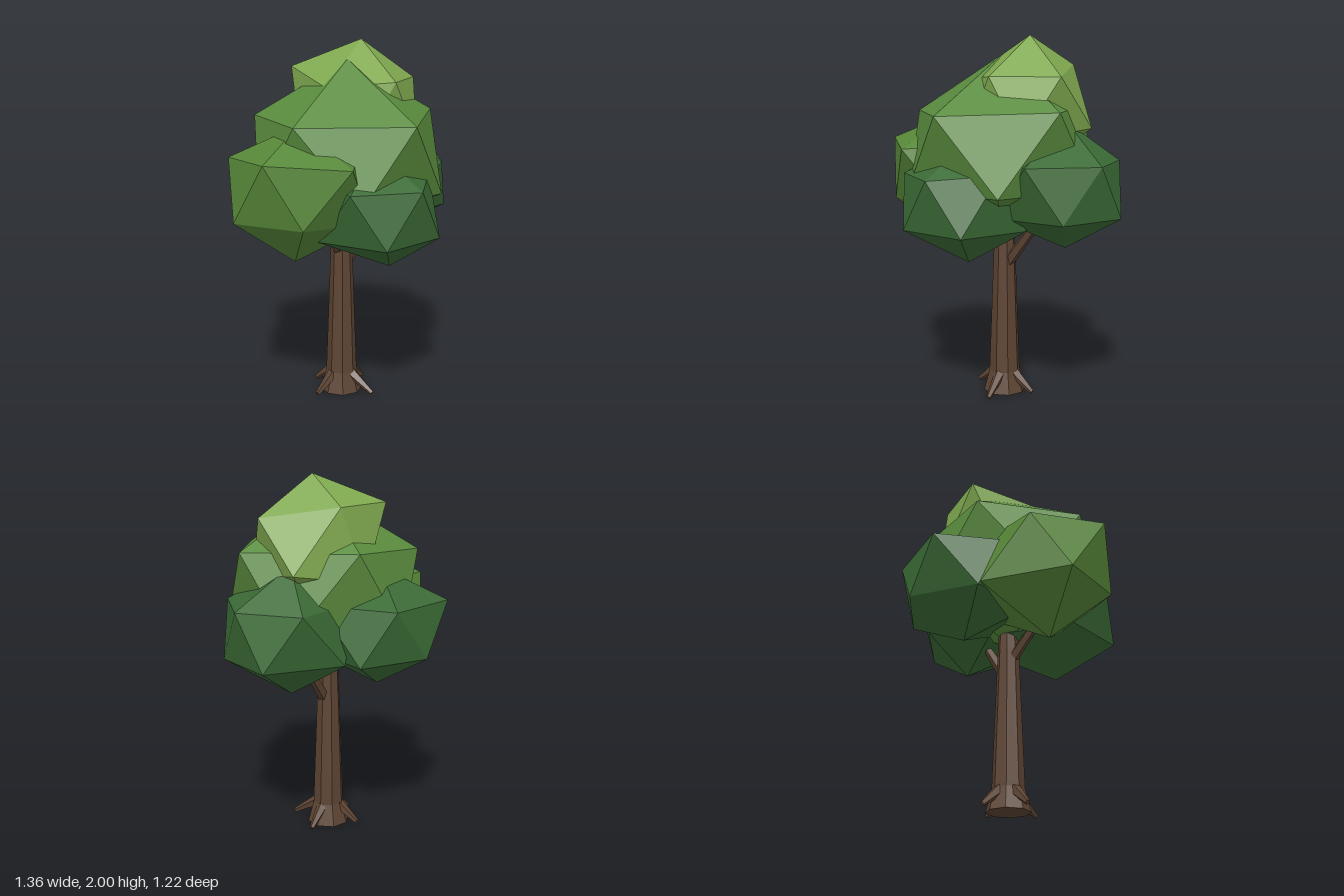
import * as THREE from 'three';
import { ConvexGeometry } from 'three/addons/geometries/ConvexGeometry.js';

const mat = (color) => new THREE.MeshStandardMaterial({ color, flatShading: true });
const bark = mat(0x5d4433);
const light = mat(0x7fa84f), mid = mat(0x5a8c3e), leaf = mat(0x578839), dark = mat(0x3b6b36);

// Faceted leaf clump: two staggered rings of five points (0-9) and two poles.
// Nudges shift single points to make the clump irregular.
function clump(name, material, [x, y, z], ring, height, yawDegrees, nudges) {
  const points = [];
  for (let i = 0; i < 10; i++) {
    const a = THREE.MathUtils.degToRad(yawDegrees + i * 36);
    const level = (i % 2 ? -0.447 : 0.447) * height;
    points.push(new THREE.Vector3(ring * Math.cos(a), level, ring * Math.sin(a)));
  }
  points.push(new THREE.Vector3(0, height, 0), new THREE.Vector3(0, -height, 0));
  for (const [i, ...shift] of nudges) points[i].add(new THREE.Vector3(...shift));
  const mesh = new THREE.Mesh(new ConvexGeometry(points), material);
  mesh.name = name;
  mesh.position.set(x, y, z);
  return mesh;
}
const TOP = 10, BOTTOM = 11;

// Tapered limb running between two points.
function limb(name, from, to, r0, r1, sides) {
  const a = new THREE.Vector3(...from), b = new THREE.Vector3(...to);
  const dir = b.clone().sub(a);
  const mesh = new THREE.Mesh(new THREE.CylinderGeometry(r1, r0, dir.length(), sides), bark);
  mesh.name = name;
  mesh.position.copy(a).add(b).multiplyScalar(0.5);
  mesh.quaternion.setFromUnitVectors(new THREE.Vector3(0, 1, 0), dir.normalize());
  return mesh;
}

export function createModel() {
  const tree = new THREE.Group();
  tree.name = 'tree';

  // Trunk with a flared foot
  const profile = [[0, 0], [0.12, 0], [0.088, 0.12], [0.059, 0.9], [0.05, 1.15], [0, 1.15]];
  const trunk = new THREE.Mesh(
    new THREE.LatheGeometry(profile.map(([r, y]) => new THREE.Vector2(r, y)), 8, Math.PI / 8), bark);
  trunk.name = 'trunk';
  tree.add(trunk);

  // Roots spread around the foot
  for (const [degrees, reach] of [[60, 0.21], [164, 0.185], [242, 0.18], [338, 0.185]]) {
    const a = THREE.MathUtils.degToRad(degrees), c = Math.cos(a), s = Math.sin(a);
    tree.add(limb('root', [0.06 * c, 0.11, 0.06 * s], [reach * c, 0.015, reach * s], 0.034, 0.014, 5));
  }

  // Branches rising into the leaves
  tree.add(limb('leftBranch', [0.02, 0.74, 0], [0.3, 1.12, -0.1], 0.034, 0.02, 5));
  tree.add(limb('rightBranch', [-0.01, 0.82, 0], [-0.22, 1.13, 0.18], 0.032, 0.02, 5));

  // Crown
  tree.add(
    clump('mainLeaves', mid, [0.02, 1.39, 0.03], 0.52, 0.45, 1,
      [[0, 0, 0.02, 0], [2, -0.02, 0, 0.01], [4, -0.01, 0, -0.03], [8, -0.05, 0.03, 0.02], [TOP, 0, 0.06, 0]]),
    clump('topLeaves', light, [0.13, 1.63, -0.06], 0.335, 0.37, 6,
      [[0, 0, -0.01, 0], [2, 0, -0.01, -0.03], [4, 0, -0.03, 0.03], [6, -0.06, 0.055, 0.02],
        [8, -0.09, 0.05, 0.03], [9, 0, 0.05, -0.04], [TOP, 0.02, 0, 0]]),
    clump('rightLeaves', leaf, [-0.31, 1.25, 0.13], 0.375, 0.4, 142,
      [[1, 0, 0.03, 0], [2, -0.01, -0.02, 0.02], [3, -0.01, 0, -0.05], [8, -0.02, -0.03, 0.05],
        [9, -0.02, 0.03, -0.04], [TOP, 0, -0.07, 0], [BOTTOM, -0.03, 0, 0]]),
    clump('frontLeaves', dark, [0.06, 1.13, 0.29], 0.34, 0.315, 73,
      [[0, 0, 0, -0.02], [2, 0.01, 0, 0.03], [8, -0.02, 0.03, 0], [BOTTOM, 0.07, 0, 0.03]]),
    clump('leftLeaves', dark, [0.335, 1.2, -0.1], 0.34, 0.32, -4,
      [[2, 0.04, 0, 0.015], [8, 0.055, 0, 0.01], [9, 0.035, 0, 0.02],
        [TOP, 0.02, 0.03, -0.05], [BOTTOM, 0.02, -0.005, -0.05]]),
    clump('backLeaves', dark, [-0.12, 1.2, -0.28], 0.365, 0.32, -65,
      [[1, -0.015, 0, -0.05], [7, 0.04, 0, 0.04], [8, -0.015, 0, 0.01], [9, 0, 0.01, 0.045]]),
  );
  return tree;
}
